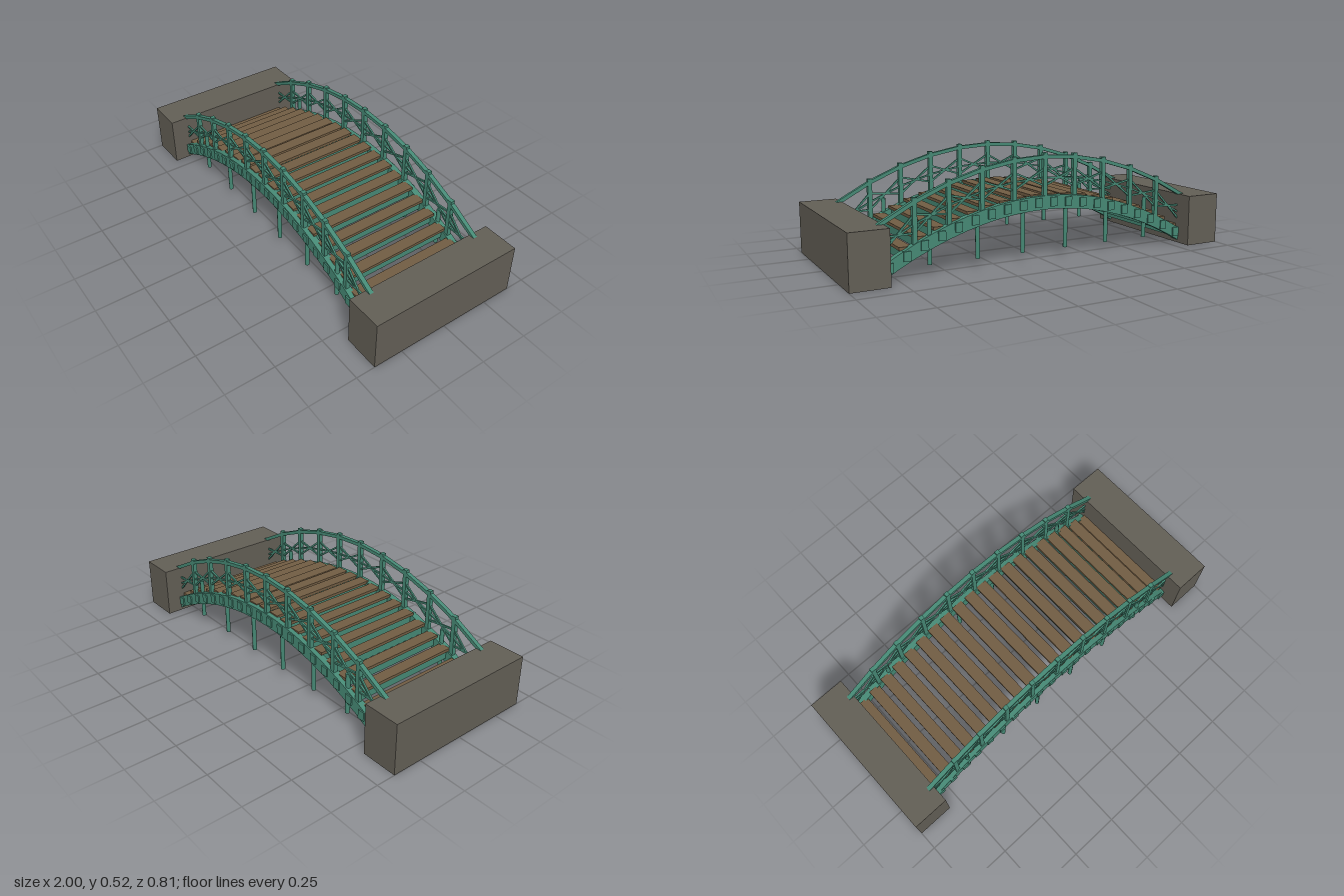
import * as THREE from 'three';

const paint = (name, color) => {
  const m = new THREE.MeshStandardMaterial({ color });
  m.name = name;
  return m;
};

export function createModel() {
  const bridge = new THREE.Group();
  bridge.name = 'archedFootbridge';
  const concrete = paint('concrete', 0x635f56);
  const wood = paint('deckWood', 0x725d43);
  const green = paint('greenPaint', 0x468975);

  const HALF = 0.8333;
  const arch = (x, crown) => crown - 0.25 * (x / HALF) ** 2;

  const add = (name, geometry, material, x, y, z) => {
    const mesh = new THREE.Mesh(geometry, material);
    mesh.name = name;
    mesh.position.set(x, y, z);
    bridge.add(mesh);
    return mesh;
  };
  const box = (name, material, w, h, d, x, y, z) =>
    add(name, new THREE.BoxGeometry(w, h, d), material, x, y, z);

  // Straight bar between two points of a plane of constant z
  const bar = (name, x1, y1, x2, y2, z, h, d, extra = 0) => {
    const length = Math.hypot(x2 - x1, y2 - y1) + extra;
    const mesh = box(name, green, length, h, d, (x1 + x2) / 2, (y1 + y2) / 2, z);
    mesh.rotation.z = Math.atan2(y2 - y1, x2 - x1);
  };

  // End abutments
  for (const s of [-1, 1]) box('abutment', concrete, 0.187, 0.26, 0.806, s * 0.9065, 0.13, 0);

  // Deck planks on cross joists
  for (let i = 0; i < 20; i++) {
    const x = -HALF + (i + 0.5) * HALF / 10;
    const top = arch(x, 0.326);
    box('plank', wood, 0.06, 0.015, 0.6, x, top - 0.0075, 0);
    box('joist', green, 0.036, 0.045, 0.66, x, top - 0.0375, 0);
  }

  // Curved side girder outline
  const outline = new THREE.Shape();
  const steps = 20;
  for (let i = 0; i <= steps; i++) {
    const x = -HALF + 2 * HALF * i / steps;
    if (i === 0) outline.moveTo(x, arch(x, 0.253));
    else outline.lineTo(x, arch(x, 0.253));
  }
  for (let i = steps; i >= 0; i--) {
    const x = -HALF + 2 * HALF * i / steps;
    outline.lineTo(x, arch(x, 0.32));
  }
  const girder = new THREE.ExtrudeGeometry(outline, { depth: 0.034, bevelEnabled: false });
  girder.translate(0, 0, -0.017);

  const pillar = new THREE.CylinderGeometry(0.011, 0.011, 0.21, 8);

  for (const side of [-1, 1]) {
    const z = side * 0.306;
    add('girder', girder, green, 0, 0, z);

    // Hanging pillars
    for (let i = 1; i <= 6; i++) {
      add('pillar', pillar, green, -HALF + 2 * HALF * i / 7, 0.157, z);
    }

    // Railing posts
    for (let i = 0; i <= 10; i++) {
      const x = -HALF + i * HALF / 5;
      if (i > 0 && i < 10) {
        box('railingPost', green, 0.022, 0.22, 0.022, x, arch(x, 0.415), z);
      }
      if (i === 10) continue;

      // Handrail, middle rail and crossed braces of each bay
      const x2 = x + HALF / 5;
      bar('handrail', x, arch(x, 0.506), x2, arch(x2, 0.506), z, 0.018, 0.022, 0.012);
      bar('middleRail', x, arch(x, 0.405), x2, arch(x2, 0.405), z, 0.008, 0.01);
      bar('brace', x, arch(x, 0.365), x2, arch(x2, 0.45), z, 0.009, 0.009);
      bar('brace', x, arch(x, 0.45), x2, arch(x2, 0.365), z, 0.009, 0.009);
    }
  }
  return bridge;
}
